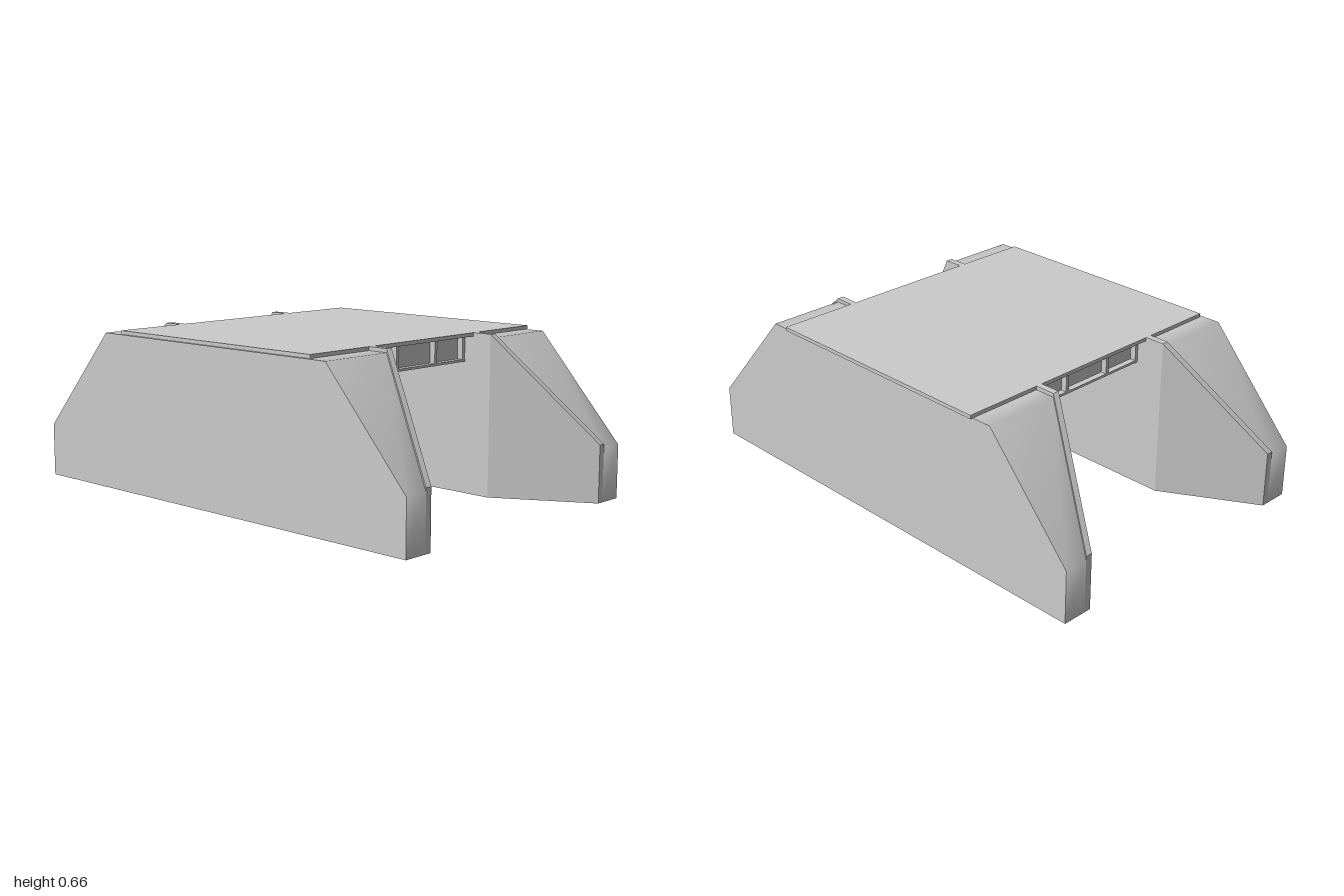
import * as THREE from 'three';

const grey = new THREE.MeshStandardMaterial({ color: 0xcccccc, side: THREE.DoubleSide });
const OUTER = 0.65, LIP = 0.028, RISE = 0.015;

// Stations along the abutment: x, parapet height, inner face z, parapet rise
const half = [
  [0.535, 0.645, 0.3, 0],
  [0.535, 0.66, 0.3, RISE],
  [0.62, 0.66, 0.3, RISE],
  [1, 0.235, 0.52, RISE],
];
const stations = [...half.map(([x, ...r]) => [-x, ...r]).reverse(), ...half];

function geometryFrom(positions, index) {
  const g = new THREE.BufferGeometry();
  g.setAttribute('position', new THREE.Float32BufferAttribute(positions, 3));
  if (index) g.setIndex(index);
  g.computeVertexNormals();
  return g;
}

// Flat-sided wall: base, inner face, parapet and outer face
function wallGeometry() {
  const pos = [];
  const quad = (a, b, c, d) => pos.push(...a, ...b, ...c, ...a, ...c, ...d);
  const rings = stations.map(([x, h, z, rise]) => [
    [x, h - rise, OUTER], [x, 0, OUTER], [x, 0, z],
    [x, h, z], [x, h, z + LIP], [x, h - rise, z + LIP],
  ]);
  for (let s = 0; s < rings.length - 1; s++) {
    const a = rings[s], b = rings[s + 1];
    for (let i = 0; i < 5; i++) quad(a[i], a[i + 1], b[i + 1], b[i]);
  }
  for (const side of [-1, 1]) {
    const [, h, z] = half[3];
    const cap = [[side, 0, z + LIP], [side, 0, z], [side, h, z], [side, h, z + LIP]];
    quad(...(side > 0 ? cap : cap.reverse()));
  }
  return geometryFrom(pos);
}

// Smooth fill running down over both wings and their ends
function fillGeometry() {
  const rows = half.slice(1).map(([x, h, z, rise]) => [x, h - rise, z + LIP]);
  rows.push([1, 0, 0.52 + LIP]);
  const all = [...rows.map(([x, y, z]) => [-x, y, z]).reverse(), ...rows];
  const pos = [], index = [];
  all.forEach(([x, y, z], i) => {
    pos.push(x, y, z, x, y, OUTER);
    if (i) {
      const a = 2 * i - 2;
      index.push(a, a + 1, a + 3, a, a + 3, a + 2);
    }
  });
  return geometryFrom(pos, index);
}

function box(name, w, h, d, x, y, z) {
  const m = new THREE.Mesh(new THREE.BoxGeometry(w, h, d), grey);
  m.name = name;
  m.position.set(x, y, z);
  return m;
}

export function createModel() {
  const model = new THREE.Group();
  model.name = 'bridge';

  // Two facing abutments with splayed wing walls
  const wall = wallGeometry(), fill = fillGeometry();
  for (const name of ['frontAbutment', 'backAbutment']) {
    const abutment = new THREE.Group();
    abutment.name = name;
    const w = new THREE.Mesh(wall, grey), f = new THREE.Mesh(fill, grey);
    w.name = 'wingWall';
    f.name = 'embankmentFill';
    abutment.add(w, f);
    if (name === 'backAbutment') {
      abutment.rotation.y = Math.PI;
      abutment.position.z = 0.01;
    }
    model.add(abutment);
  }

  // Deck slab
  model.add(box('deckSlab', 1.07, 0.015, 1.29, 0, 0.6525, -0.007));

  // Longitudinal girders under the deck
  for (let i = 0; i < 5; i++) {
    const x = -0.46 + i * 0.23;
    model.add(box('girderWeb', 0.02, 0.105, 0.6, x, 0.5925, 0.005));
    model.add(box('girderFlange', 0.07, 0.01, 0.6, x, 0.545, 0.005));
  }

  // Cross diaphragms
  for (const z of [0.294, 0.121, -0.106, -0.279])
    model.add(box('diaphragm', 0.99, 0.1, 0.015, 0, 0.595, z));

  return model;
}
